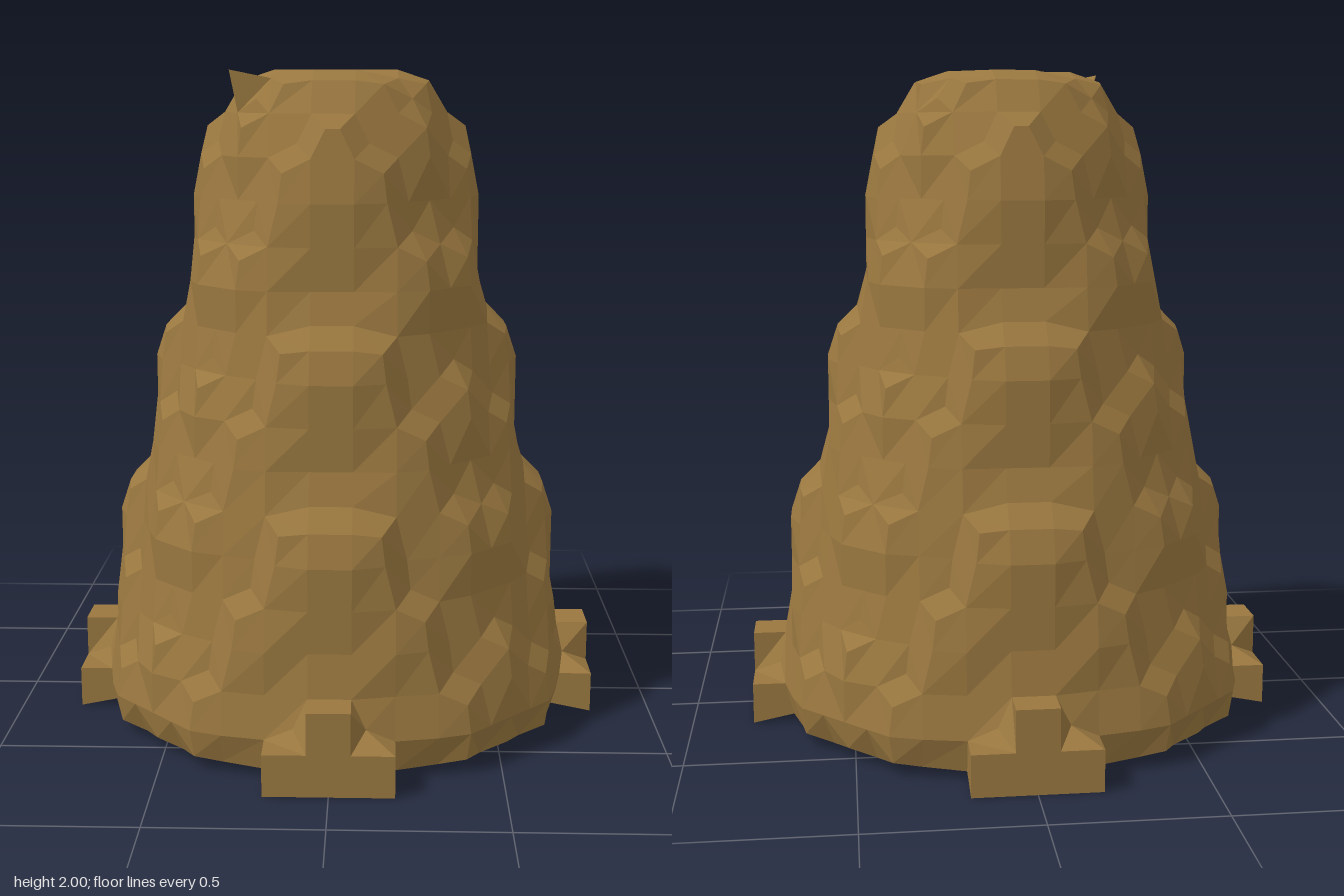
import * as THREE from 'three';

const S = 0.125;      // block size
const LAYERS = 16;
const RANGE = 7;

export function createModel() {
  const brown = new THREE.MeshStandardMaterial({ color: 0x99773f, flatShading: true });
  brown.name = 'earthy brown';
  const dark = new THREE.MeshStandardMaterial({ color: 0x454944, flatShading: true });
  dark.name = 'dark grey';

  // Block kinds: 0 empty, 1 cone shell two blocks thick, 2 central rod
  const kind = (x, y, z) => {
    if (y < 0 || y >= LAYERS) return 0;
    if (x === 0 && z === 0) return 2;
    const r = 6.24 - 0.228 * y, d = Math.hypot(x, z);
    if (d > r) return 0;
    return y === LAYERS - 1 || d >= r - 2 ? 1 : 0;
  };

  // Exposed block faces, with shared corners and their neighbours along edges
  const corners = new Map();
  const corner = (p) => {
    const key = p.join();
    if (!corners.has(key)) corners.set(key, { p, near: new Set() });
    return corners.get(key);
  };
  const quads = { 1: [], 2: [] };
  const addFace = (cell, axis, sign, k) => {
    const u = (axis + 1) % 3, v = (axis + 2) % 3;
    const quad = [[0, 0], [1, 0], [1, 1], [0, 1]].map(([a, b]) => {
      const p = [...cell];
      p[axis] += sign > 0 ? 1 : 0;
      p[u] += a;
      p[v] += b;
      return corner(p);
    });
    if (sign < 0) quad.reverse();
    quad.forEach((c, i) => {
      c.near.add(quad[(i + 1) % 4]);
      c.near.add(quad[(i + 3) % 4]);
    });
    quads[k].push(quad);
  };
  for (let y = 0; y < LAYERS; y++)
    for (let x = -RANGE; x <= RANGE; x++)
      for (let z = -RANGE; z <= RANGE; z++) {
        const k = kind(x, y, z);
        if (!k) continue;
        for (let axis = 0; axis < 3; axis++)
          for (const sign of [-1, 1]) {
            const n = [x, y, z];
            n[axis] += sign;
            if (!kind(...n)) addFace([x, y, z], axis, sign, k);
          }
      }

  // Soften every corner to the mean of its neighbours; feet and one top spike stay sharp
  for (const c of corners.values()) {
    const [x, y, z] = c.p;
    const foot = Math.max(Math.abs(x - 0.5), Math.abs(z - 0.5)) > 6;
    const spike = x === -2 && y === LAYERS && z === 2;
    const q = [0, 0, 0];
    if (foot || spike) q.splice(0, 3, x, y, z);
    else for (const n of c.near) n.p.forEach((t, i) => { q[i] += t / c.near.size; });
    c.pos = [(q[0] - 0.5) * S, q[1] * S, (q[2] - 0.5) * S];
  }

  const build = (list, material, name) => {
    const pos = [];
    for (const [a, b, c, d] of list)
      for (const v of [a, b, c, a, c, d]) pos.push(...v.pos);
    const geo = new THREE.BufferGeometry();
    geo.setAttribute('position', new THREE.Float32BufferAttribute(pos, 3));
    geo.computeVertexNormals();
    const mesh = new THREE.Mesh(geo, material);
    mesh.name = name;
    return mesh;
  };

  const group = new THREE.Group();
  group.name = 'hollowSteppedCone';
  group.add(build(quads[1], brown, 'coneShell'), build(quads[2], dark, 'centralRod'));
  return group;
}
